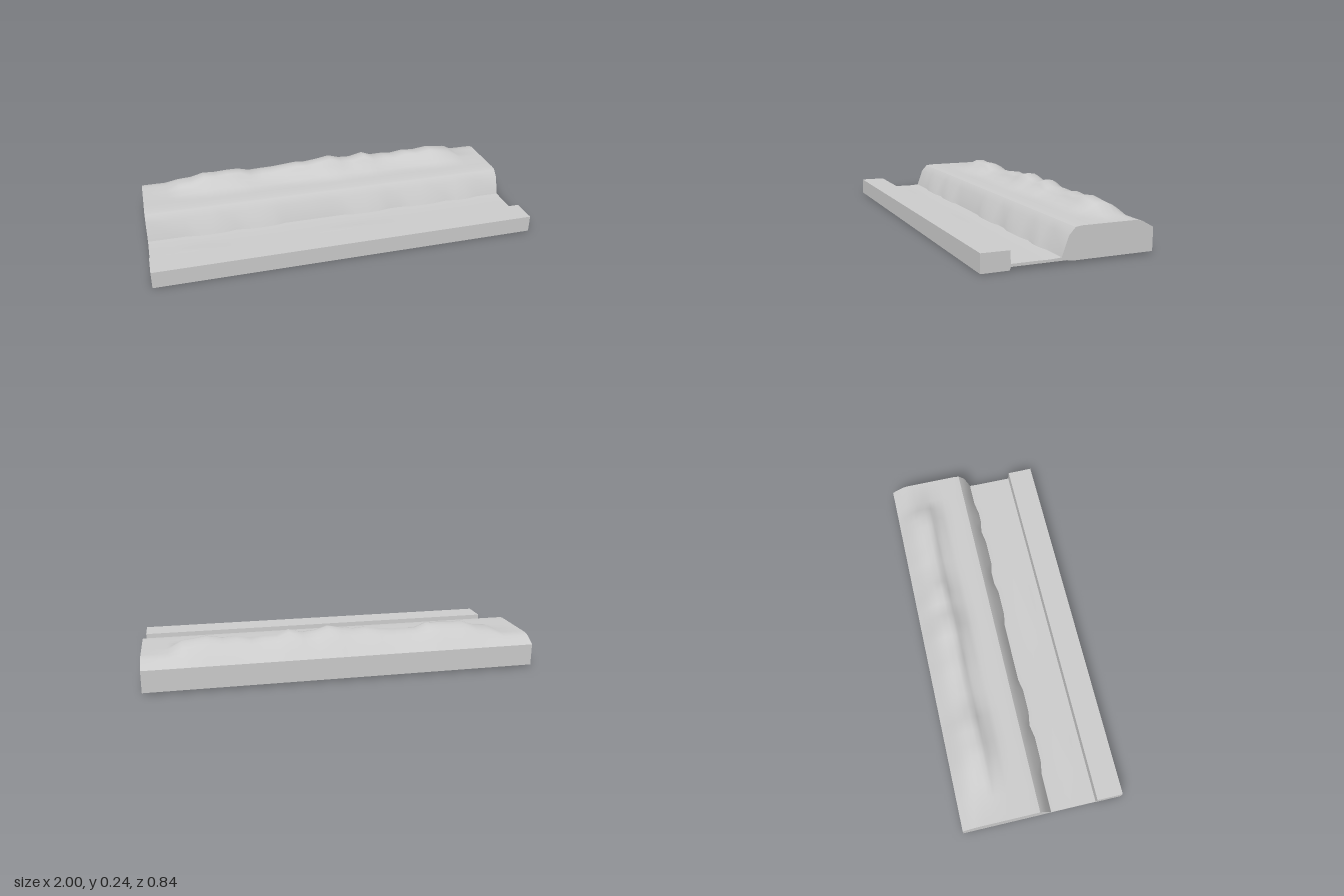
import * as THREE from 'three';

// Ridge crest: [x, y] along the length
const CREST = [[-1, .162], [-.87, .162], [-.8, .194], [-.73, .2], [-.66, .226], [-.6, .221], [-.53, .226], [-.46, .226],
  [-.4, .203], [-.33, .207], [-.27, .208], [-.2, .216], [-.13, .225], [-.07, .219], [0, .23], [.065, .243], [.13, .222],
  [.2, .217], [.27, .238], [.33, .212], [.4, .214], [.46, .205], [.53, .22], [.6, .212], [.68, .226], [.74, .216],
  [.8, .209], [.87, .163], [1, .162]];
// Share of the crest height reached at each z
const RIDGE = [[-.14, 0], [-.165, .14], [-.19, .33], [-.21, .46], [-.225, .68], [-.24, .92], [-.262, 1], [-.3, .92],
  [-.33, .68], [-.36, .42], [-.39, .2], [-.42, 0]];
// Plain bank top without the ridge
const BANK = [[-.02, .158], [-.05, .162], [-.33, .162], [-.365, .154], [-.42, .122]];
// Ranges of x where the bank's toe spreads into the ditch
const TOES = [[-.74, -.54], [-.47, -.33], [.13, .3], [.46, .6], [.73, .86]];

function lerpTable(table, t) {
  for (let i = 1; i < table.length; i++) {
    const [a, va] = table[i - 1], [b, vb] = table[i];
    if ((t - a) * (t - b) <= 0) return va + (vb - va) * (t - a) / (b - a);
  }
  return 0;
}

const fade = (x) => Math.min(1, Math.max(0, (.87 - Math.abs(x)) * 8));

function bankHeight(x, z) {
  const shift = fade(x) * .012 * Math.sin(x * 9 + 1) * Math.max(0, 1 - Math.abs(z + .2) / .1);
  return lerpTable(BANK, z) + (lerpTable(CREST, x) - .162) * lerpTable(RIDGE, z - shift);
}

function toe(x) {
  return TOES.some(([a, b]) => x >= a && x <= b) ? 1 : 0;
}

// Cross-sections, each a list of [z, y] running front to back over the top
const BANK_Z = [-.02, -.05, -.1, ...RIDGE.map((p) => p[0])];
const bankTop = (x) => BANK_Z.map((z) => [z, bankHeight(x, z)]);
const slope = (x) => [[.045 + .012 * toe(x), .03], [.04 + .01 * toe(x), .045], [.012, .123], [-.02, .158]];
const ditch = (x) => {
  const lump = fade(x) * .005 * Math.max(0, Math.sin(x * 7 + .6));
  return [[.285, .028], [.24, .028], [.2, .028 + lump], [.16, .028], [.1, .027], [.045 + .012 * toe(x), .03]];
};

// Skin a run of cross-sections along x
function loft(section, xs) {
  const pos = [], index = [], n = section(0).length;
  xs.forEach((x, i) => {
    section(x).forEach(([z, y], j) => {
      pos.push(x, y, z);
      if (i && j) {
        const d = i * n + j, c = d - 1, b = d - n, a = b - 1;
        index.push(a, c, b, c, d, b);
      }
    });
  });
  const geo = new THREE.BufferGeometry();
  geo.setAttribute('position', new THREE.Float32BufferAttribute(pos, 3));
  geo.setIndex(index);
  geo.computeVertexNormals();
  return geo;
}

export function createModel() {
  const group = new THREE.Group();
  const stone = new THREE.MeshStandardMaterial({ color: 0xcccccc });
  stone.name = 'pale grey';

  const add = (name, geo) => {
    const mesh = new THREE.Mesh(geo, stone);
    mesh.name = name;
    group.add(mesh);
  };

  // Ground surfaces
  const xs = CREST.map((p) => p[0]);
  add('ditchFloor', loft(ditch, xs));
  add('bankSlope', loft(slope, xs));
  add('bankTop', loft(bankTop, xs));

  // Flat faces: back, underside and the front kerb
  const flats = {
    backWall: [[-.42, .122], [-.42, .01]],
    bankUnderside: [[-.42, .01], [-.01, .01]],
    undersideRamp: [[-.01, .01], [.02, .015]],
    ditchUnderside: [[.02, .015], [.285, .015]],
    kerbUnderStep: [[.285, .015], [.29, 0]],
    kerbUnderside: [[.29, 0], [.423, 0]],
    kerbFront: [[.423, 0], [.423, .088]],
    kerbTop: [[.423, .088], [.288, .087]],
    kerbInnerWall: [[.288, .087], [.285, .028]],
  };
  for (const [name, line] of Object.entries(flats)) add(name, loft(() => line, [-1, 1]));

  // End faces closing the cross-section
  const outline = [...ditch(1), ...slope(1).slice(1), ...bankTop(1).slice(1),
    ...Object.values(flats).slice(0, -1).map((line) => line[1])];
  for (const side of [-1, 1]) {
    const shape = new THREE.Shape(outline.map(([z, y]) => new THREE.Vector2(-side * z, y)));
    const cap = new THREE.ShapeGeometry(shape);
    cap.rotateY(side * Math.PI / 2);
    cap.translate(side, 0, 0);
    add(side < 0 ? 'rightEnd' : 'leftEnd', cap);
  }
  return group;
}
